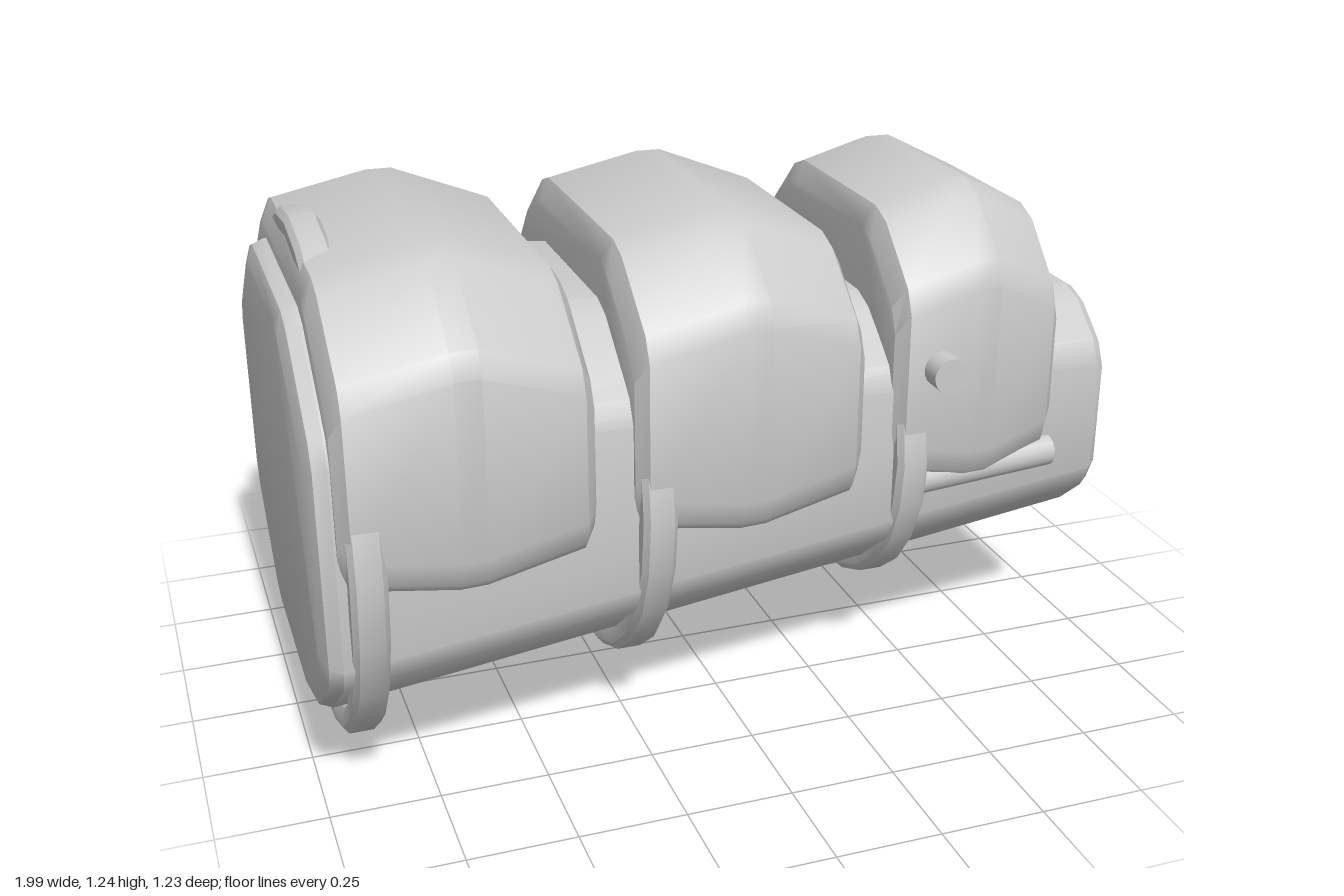
import * as THREE from 'three';
import { toCreasedNormals } from 'three/addons/utils/BufferGeometryUtils.js';

const material = new THREE.MeshStandardMaterial({ color: 0xcccccc });

// Chamfered cross-section as [z, y] points; every corner is slightly bevelled.
// w: half width, b/t: bottom/top, [cz, cy]: top chamfer, [dz, dy]: bottom chamfer
function section({ x, w, b, t, cz, cy, dz, dy }) {
  const half = [[w - cz, t], [w, t - cy], [w, b + dy], [w - dz, b]];
  const pts = [...half, ...half.slice().reverse().map(([z, y]) => [-z, y])];
  const out = [];
  const toward = (p, q) => {
    const len = Math.hypot(q[0] - p[0], q[1] - p[1]);
    const k = Math.min(0.035 / len, 0.35);
    return new THREE.Vector3(x, p[1] + (q[1] - p[1]) * k, p[0] + (q[0] - p[0]) * k);
  };
  pts.forEach((p, i) => {
    out.push(toward(p, pts[(i + 7) % 8]), toward(p, pts[(i + 1) % 8]));
  });
  return out;
}

// Skin a row of cross-sections (rising x) and close both ends.
function loft(sections) {
  const rings = sections.map(section);
  const n = rings[0].length;
  const pos = [];
  const tri = (...v) => v.forEach((p) => pos.push(p.x, p.y, p.z));
  for (let s = 0; s < rings.length - 1; s++) {
    for (let i = 0; i < n; i++) {
      const j = (i + 1) % n;
      const [a, b, c, d] = [rings[s][i], rings[s][j], rings[s + 1][j], rings[s + 1][i]];
      tri(a, b, d);
      tri(b, c, d);
    }
  }
  const first = rings[0], last = rings[rings.length - 1];
  for (let i = 1; i < n - 1; i++) {
    tri(first[0], first[i + 1], first[i]);
    tri(last[0], last[i], last[i + 1]);
  }
  const g = new THREE.BufferGeometry();
  g.setAttribute('position', new THREE.Float32BufferAttribute(pos, 3));
  return toCreasedNormals(g, 0.5);
}

function add(parent, name, geometry, x = 0, y = 0, z = 0) {
  const mesh = new THREE.Mesh(geometry, material);
  mesh.name = name;
  mesh.position.set(x, y, z);
  parent.add(mesh);
  return mesh;
}

// Tapered body: straight between its two ends, with a softened rim.
function bodySection(x, inset) {
  const k = (x + 0.95) / 1.9;
  const mix = (a, b) => a + (b - a) * k;
  const cz = mix(0.27, 0.14), cy = mix(0.21, 0.12);
  return {
    x, w: mix(0.56, 0.335) - inset, b: mix(0.145, 0.33) + inset, t: mix(1.11, 0.92) - inset,
    cz, cy, dz: cz, dy: cy,
  };
}

// Plate section: [x, half width, bottom, top]
function plateSection([x, w, b, t]) {
  return { x, w, b, t, cz: 0.42 * w, cy: 0.17, dz: 0.05, dy: 0.06 };
}

// Domed armour plate from x0 to x1 with its ridge in the middle.
function plate(x0, x1, w, wEnd) {
  const mid = (x0 + x1) / 2;
  return loft([
    [x0, w - 0.03, 0.6, 1.14],
    [x0 + 0.025, w, 0.565, 1.19],
    [mid - 0.03, w, 0.53, 1.237],
    [mid + 0.03, w - 0.004, 0.53, 1.237],
    [x1 - 0.025, wEnd + 0.01, 0.56, 1.15],
    [x1, wEnd - 0.02, 0.585, 1.11],
  ].map(plateSection));
}

// Flat band with rounded edges, its axis along x.
function band(radius) {
  const profile = [
    [-0.06, -0.03], [-0.045, -0.04], [-0.015, -0.04], [0, -0.028],
    [0, 0.028], [-0.015, 0.04], [-0.045, 0.04], [-0.06, 0.03], [-0.06, -0.03],
  ].map(([r, h]) => new THREE.Vector2(radius + r, h));
  const g = new THREE.LatheGeometry(profile, 24);
  g.rotateZ(-Math.PI / 2);
  return toCreasedNormals(g.toNonIndexed(), 0.6);
}

export function createModel() {
  const model = new THREE.Group();
  model.name = 'armouredGrub';

  // Body
  add(model, 'body', loft([
    bodySection(-0.995, 0.045), bodySection(-0.98, 0.012), bodySection(-0.95, 0),
    bodySection(0.96, 0), bodySection(0.985, 0.012), bodySection(0.995, 0.035),
  ]));

  // Armour plates, large at the rear
  [
    ['rearPlate', -0.945, -0.38, 0.6, 0.545],
    ['middlePlate', -0.28, 0.28, 0.52, 0.465],
    ['frontPlate', 0.375, 0.825, 0.43, 0.37],
  ].forEach(([name, ...dims]) => add(model, name, plate(...dims)));

  // Bands around the body
  [
    ['rearBand', -0.89, 0.615],
    ['middleBand', -0.23, 0.53],
    ['frontBand', 0.425, 0.44],
  ].forEach(([name, x, r]) => add(model, name, band(r), x, 0.617, 0));

  // Eyes and cheek bars on both sides
  for (const side of [1, -1]) {
    const label = side > 0 ? 'Front' : 'Back';
    const eye = new THREE.CylinderGeometry(0.043, 0.043, 0.12, 20);
    eye.rotateX(Math.PI / 2);
    add(model, 'eye' + label, eye, 0.483, 0.85, side * 0.425);

    const bar = new THREE.CylinderGeometry(0.04, 0.04, 0.37, 16);
    bar.rotateZ(-Math.PI / 2);
    const mesh = add(model, 'cheekBar' + label, bar, 0.645, 0.557, side * 0.36);
    mesh.rotation.set(0, side * 0.08, 0.03);
  }
  return model;
}
